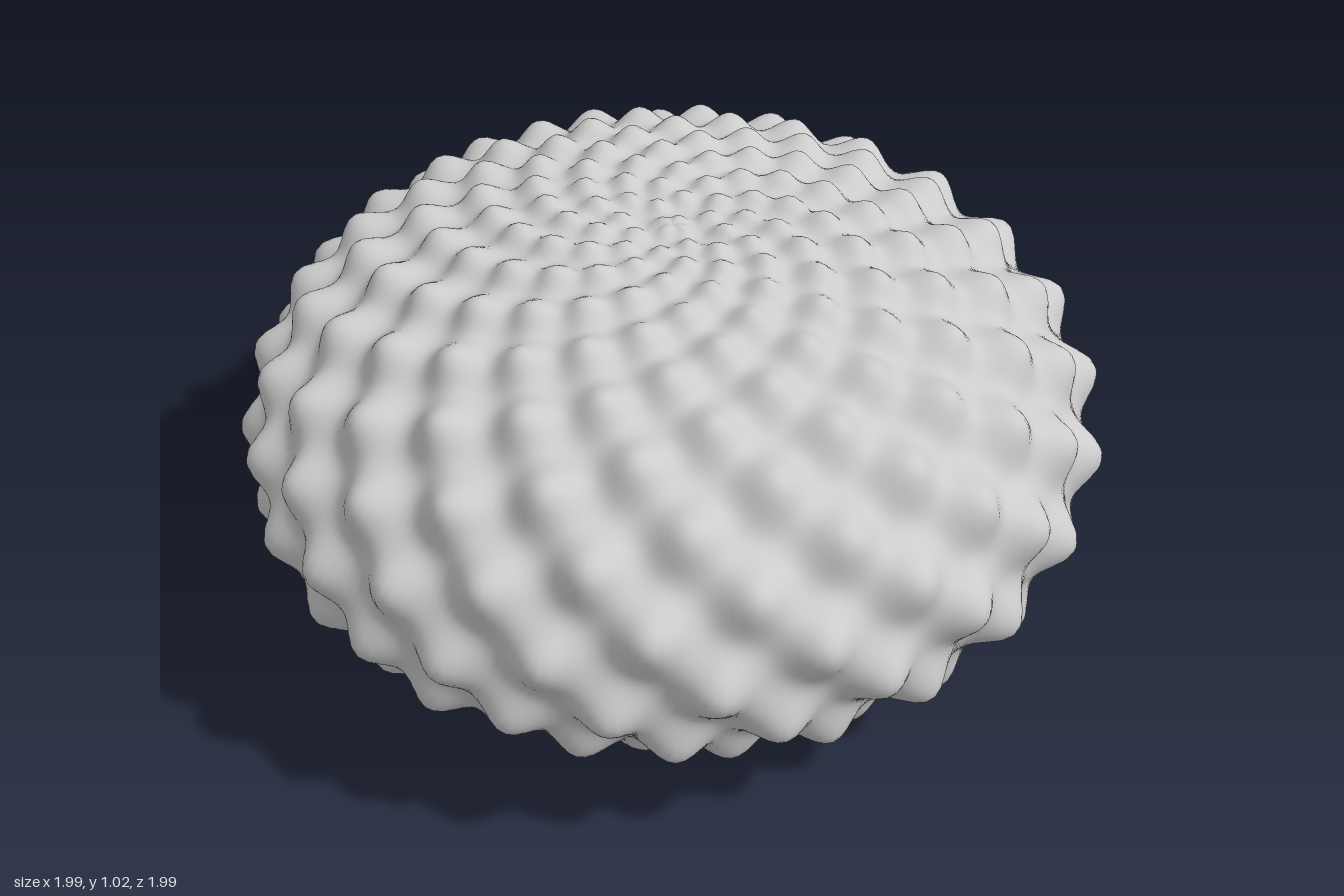
import * as THREE from 'three';

const SEGMENTS = 320, RINGS = 170;
const HOLE = 0.16, RADIUS = 0.92, MID = 0.5;
const START = -Math.acos(HOLE / RADIUS), END = Math.PI / 2;
const material = () => new THREE.MeshStandardMaterial({ color: 0xcccccc, side: THREE.DoubleSide });

// Smooth flattened profile: latitude -> radius and height
function profile(lat) {
  const r = RADIUS * Math.cos(lat);
  const half = lat < 0 ? 0.507 : 0.505;
  const dip = lat > 0 ? 0.02 * Math.exp(-((r / 0.2) ** 2)) : 0;
  return [r, MID + half * Math.sin(lat) - dip];
}

// Profile direction at a latitude, per radian
function slope(lat) {
  const [r0, y0] = profile(lat - 0.001), [r1, y1] = profile(lat + 0.001);
  return [(r1 - r0) / 0.002, (y1 - y0) / 0.002];
}

// Knob centres: four interleaved golden-angle spirals from the crown downwards,
// with knobs that are smaller and closer together near the axis
function knobCentres() {
  const knobs = [];
  let lat = END - 0.03;
  for (let step = 0; lat > START; step++) {
    const [r, y] = profile(lat);
    const spacing = Math.min(0.19, 0.05 + 0.19 * r);
    const height = 0.42 * spacing * THREE.MathUtils.smoothstep(lat, -1.25, -0.3);
    for (let k = 0; k < 4; k++) {
      const a = -step * 2.39996 / 4 + k * Math.PI / 2;
      knobs.push({ x: r * Math.sin(a), y, z: r * Math.cos(a), height, width: 0.146 * spacing ** 2 });
    }
    lat -= 4 * 0.87 * spacing ** 2 / (2 * Math.PI * r * Math.hypot(...slope(lat)));
  }
  return knobs;
}

// Shell raised into a soft dome around each knob centre
function knobbedShell() {
  const positions = [], index = [], knobs = knobCentres();
  for (let j = 0; j <= RINGS; j++) {
    const lat = START + (END - START) * j / RINGS;
    const [r, y] = profile(lat), [dr, dy] = slope(lat);
    const len = Math.hypot(dr, dy);
    const near = knobs.filter((k) => Math.abs(k.y - y) < 0.4);
    for (let i = 0; i < SEGMENTS; i++) {
      const a = i / SEGMENTS * Math.PI * 2, sin = Math.sin(a), cos = Math.cos(a);
      let h = 0;
      for (const k of near) {
        const d2 = (r * sin - k.x) ** 2 + (y - k.y) ** 2 + (r * cos - k.z) ** 2;
        if (d2 < 8 * k.width) h += k.height * Math.exp(-d2 / k.width);
      }
      const rr = Math.max(0, r + dy / len * h);
      positions.push(rr * sin, y - dr / len * h, rr * cos);
      if (j < RINGS) {
        const p = j * SEGMENTS + i, q = j * SEGMENTS + (i + 1) % SEGMENTS;
        index.push(p, q, q + SEGMENTS, p, q + SEGMENTS, p + SEGMENTS);
      }
    }
  }
  const geometry = new THREE.BufferGeometry();
  geometry.setAttribute('position', new THREE.Float32BufferAttribute(positions, 3));
  geometry.setIndex(index);
  geometry.computeVertexNormals();
  return geometry;
}

export function createModel() {
  const group = new THREE.Group();
  group.name = 'knobbedShade';
  const add = (name, geometry) => {
    const mesh = new THREE.Mesh(geometry, material());
    mesh.name = name;
    group.add(mesh);
    return mesh;
  };

  add('knobbedShell', knobbedShell());

  // Round socket in the underside
  const depth = 0.4;
  add('socketWall', new THREE.CylinderGeometry(HOLE, HOLE, depth, 64, 1, true)).position.y = depth / 2;
  const end = add('socketEnd', new THREE.CircleGeometry(HOLE, 64));
  end.rotation.x = Math.PI / 2;
  end.position.y = depth;

  return group;
}
